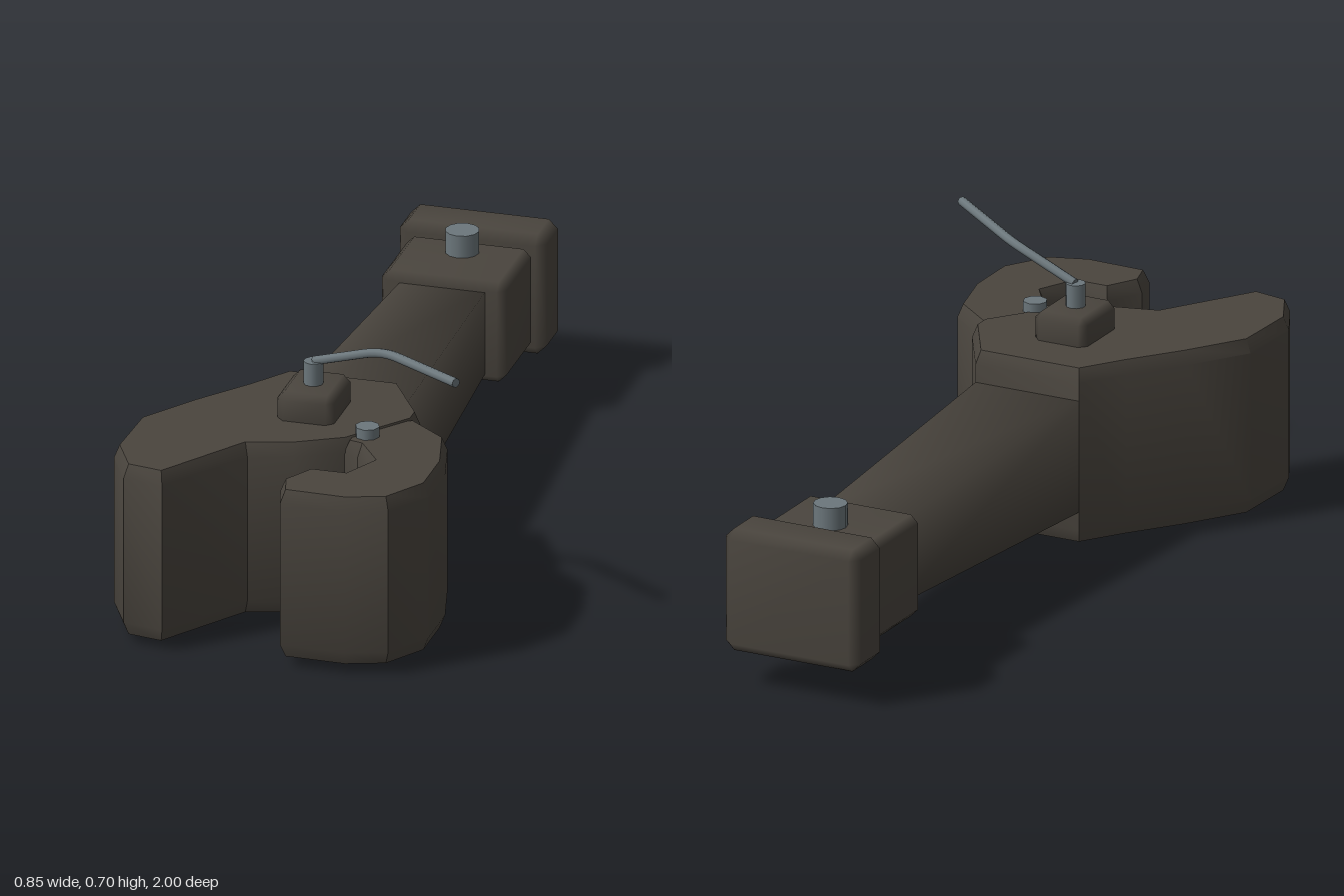
import * as THREE from 'three';
import { mergeVertices, toCreasedNormals } from 'three/addons/utils/BufferGeometryUtils.js';
import { ConvexGeometry } from 'three/addons/geometries/ConvexGeometry.js';

const iron = new THREE.MeshStandardMaterial({ color: 0x4a453e });
iron.name = 'dark cast iron';
const steel = new THREE.MeshStandardMaterial({ color: 0x6c777c });
steel.name = 'grey steel';

function addMesh(group, name, geometry, material) {
  const mesh = new THREE.Mesh(geometry, material);
  mesh.name = name;
  group.add(mesh);
  return mesh;
}

// Box with single-step chamfers and softly blended normals; taper(point) may reshape it
function chamferBox(min, max, b, taper) {
  const c = min.map((v, i) => (v + max[i]) / 2);
  const h = min.map((v, i) => (max[i] - v) / 2);
  const points = [];
  for (const sx of [-1, 1]) for (const sy of [-1, 1]) for (const sz of [-1, 1]) {
    for (let full = 0; full < 3; full++) {
      const s = [sx, sy, sz];
      const p = new THREE.Vector3(...s.map((d, i) => c[i] + d * (h[i] - (i === full ? 0 : b))));
      if (taper) taper(p);
      points.push(p);
    }
  }
  let geometry = new ConvexGeometry(points);
  geometry.deleteAttribute('normal');
  geometry = mergeVertices(geometry, 1e-4);
  geometry.computeVertexNormals();
  return geometry;
}

// Upright slab from an (x, z) outline, with steep chamfers at top and bottom
function slab(outline, y0, y1) {
  const shape = new THREE.Shape(outline.map(([x, z]) => new THREE.Vector2(x, z)));
  const rise = 0.035, inset = 0.014;
  const geometry = new THREE.ExtrudeGeometry(shape, {
    depth: y1 - y0 - 2 * rise, bevelEnabled: true, bevelSegments: 1,
    bevelThickness: rise, bevelSize: inset, bevelOffset: -inset,
  });
  geometry.rotateX(Math.PI / 2);
  geometry.translate(0, y1 - rise, 0);
  return toCreasedNormals(geometry, 0.6);
}

function pin(group, name, x, z, r, y0, y1, sides) {
  const mesh = addMesh(group, name, new THREE.CylinderGeometry(r, r, y1 - y0, sides), steel);
  mesh.position.set(x, (y0 + y1) / 2, z);
}

export function createModel() {
  const group = new THREE.Group();
  group.name = 'coupler';

  // Fixed jaw and hooked knuckle
  addMesh(group, 'head', slab([
    [-0.145, 0.26], [-0.22, 0.37], [-0.32, 0.5], [-0.42, 0.65], [-0.427, 0.84],
    [-0.367, 0.96], [-0.262, 0.98], [-0.11, 0.745], [0, 0.715], [0.12, 0.647],
    [0.245, 0.48], [0.245, 0.43], [0.145, 0.26],
  ], 0.024, 0.483), iron);
  addMesh(group, 'knuckle', slab([
    [0.11, 0.54], [0.11, 0.65], [0.15, 0.66], [0.205, 0.74], [0.165, 0.825],
    [0.075, 0.825], [0.025, 0.915], [0.047, 0.995], [0.215, 1], [0.318, 0.965],
    [0.388, 0.85], [0.388, 0.7], [0.35, 0.55], [0.24, 0.46],
  ], 0.028, 0.478), iron);

  // Shank narrows toward the rear
  addMesh(group, 'shank', chamferBox([-1, -1, -0.65], [1, 1, 0.3], 0.0, (p) => {
    const t = (0.26 - p.z) / 0.87;
    p.x *= THREE.MathUtils.lerp(0.145, 0.11, t);
    p.y = 0.254 + p.y * THREE.MathUtils.lerp(0.147, 0.11, t);
  }), iron);
  addMesh(group, 'collar', chamferBox([-0.161, 0.12, -0.857], [0.161, 0.388, -0.6], 0.02), iron);
  addMesh(group, 'buttEnd', chamferBox([-0.19, 0.093, -1], [0.19, 0.415, -0.853], 0.024), iron);
  addMesh(group, 'lockBoss', chamferBox([-0.085, 0.45, 0.402], [0.061, 0.556, 0.58], 0.018), iron);

  // Pins
  pin(group, 'knucklePin', 0.158, 0.6, 0.031, 0, 0.505, 8);
  pin(group, 'tailPin', 0, -0.78, 0.043, 0.062, 0.447, 12);
  pin(group, 'lifterPost', -0.013, 0.492, 0.025, 0.54, 0.616, 10);

  // Bent uncoupling rod with closed ends
  const path = new THREE.CurvePath();
  const v = (x, y, z) => new THREE.Vector3(x, y, z);
  path.add(new THREE.LineCurve3(v(-0.012, 0.615, 0.49), v(0.13, 0.662, 0.515)));
  path.add(new THREE.QuadraticBezierCurve3(v(0.13, 0.662, 0.515), v(0.175, 0.676, 0.523), v(0.22, 0.679, 0.555)));
  path.add(new THREE.LineCurve3(v(0.22, 0.679, 0.555), v(0.415, 0.691, 0.697)));
  const rod = new THREE.Group();
  rod.name = 'uncouplingRod';
  group.add(rod);
  addMesh(rod, 'rod', new THREE.TubeGeometry(path, 24, 0.012, 8), steel);
  for (const t of [0, 1]) {
    const cap = addMesh(rod, 'rodEnd', new THREE.CircleGeometry(0.012, 8), steel);
    cap.position.copy(path.getPointAt(t));
    cap.quaternion.setFromUnitVectors(v(0, 0, 1), path.getTangentAt(t).multiplyScalar(t ? 1 : -1));
  }
  return group;
}
